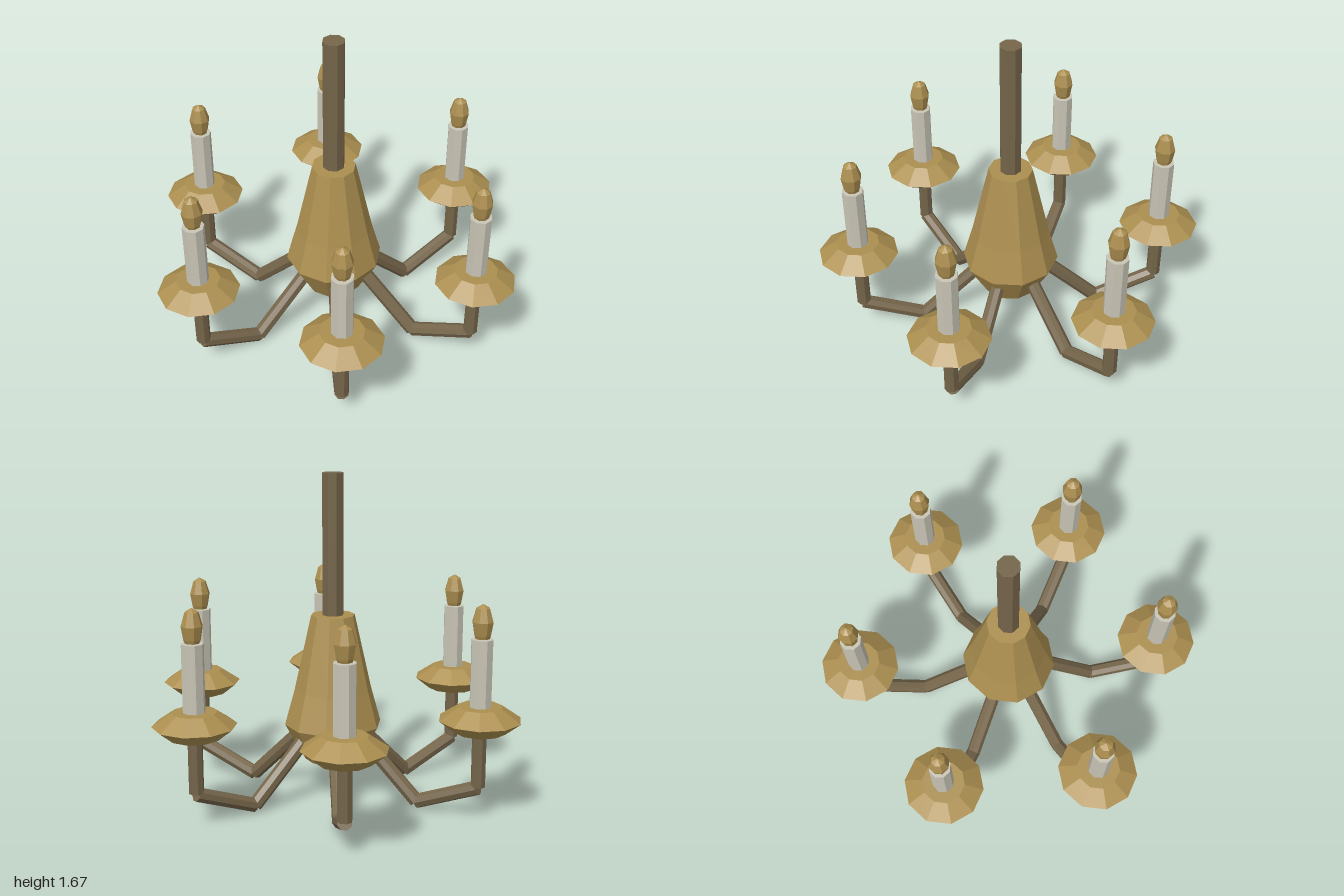
import * as THREE from 'three';

const mat = (name, color) => Object.assign(new THREE.MeshStandardMaterial({ color, flatShading: true }), { name });

export function createModel() {
  const brass = mat('brass', 0xac8f50);
  const bronze = mat('bronze', 0x75654a);
  const wax = mat('wax', 0xc9c5b6);

  const add = (parent, name, geometry, material) => {
    const mesh = new THREE.Mesh(geometry, material);
    mesh.name = name;
    parent.add(mesh);
    return mesh;
  };
  // Faceted turned shape from [radius, height] points, with a corner on +x
  const turned = (points, sides) => new THREE.LatheGeometry(
    points.map(([r, y]) => new THREE.Vector2(r, y)), sides, Math.PI / 2);
  // Straight eight-sided rod between two points
  const rod = (parent, name, a, b, radius) => {
    const dir = b.clone().sub(a);
    const mesh = add(parent, name, new THREE.CylinderGeometry(radius, radius, dir.length(), 8), bronze);
    mesh.position.copy(a).add(b).multiplyScalar(0.5);
    mesh.quaternion.setFromUnitVectors(new THREE.Vector3(0, 1, 0), dir.normalize());
  };

  const model = new THREE.Group();
  model.name = 'chandelier';

  // Central body and hanging stem
  add(model, 'body', turned([[0, 0.2], [0.145, 0.2], [0.25, 0.39], [0.2, 0.57], [0.112, 0.96], [0, 0.96]], 10), brass);
  rod(model, 'stem', new THREE.Vector3(0, 0.9, 0), new THREE.Vector3(0, 1.675, 0), 0.056);

  // Shared shapes for the lights
  const dish = turned([[0, 0.455], [0.13, 0.455], [0.205, 0.515], [0.11, 0.58], [0, 0.58]], 10);
  const candle = turned([[0, 0.57], [0.055, 0.57], [0.055, 0.915], [0, 0.915]], 8);
  const flame = turned([[0, 0.912], [0.036, 0.918], [0.042, 0.935], [0.053, 1.0], [0.034, 1.066], [0, 1.087]], 8);

  // Bent arm outline as [distance from centre, height]
  const armPath = [[0.16, 0.342], [0.472, 0.037], [0.795, 0.163]];
  const reach = 0.795;

  for (let i = 0; i < 6; i++) {
    const angle = i * Math.PI / 3;
    const unit = new THREE.Group();
    unit.name = 'lightArm' + (i + 1);
    model.add(unit);

    // Two sloping rods and one upright
    const at = ([r, y]) => new THREE.Vector3(r * Math.cos(angle), y, r * Math.sin(angle));
    const [start, elbow, end] = armPath.map(at);
    rod(unit, 'innerArm', start, elbow, 0.037);
    rod(unit, 'outerArm', elbow, end, 0.037);
    rod(unit, 'upright', at([reach, 0.17]), at([reach, 0.47]), 0.037);

    // Dish, candle and flame
    for (const [name, geometry, material] of [['dish', dish, brass], ['candle', candle, wax], ['flame', flame, brass]]) {
      add(unit, name, geometry, material).position.copy(at([reach, 0]));
    }
  }
  return model;
}
